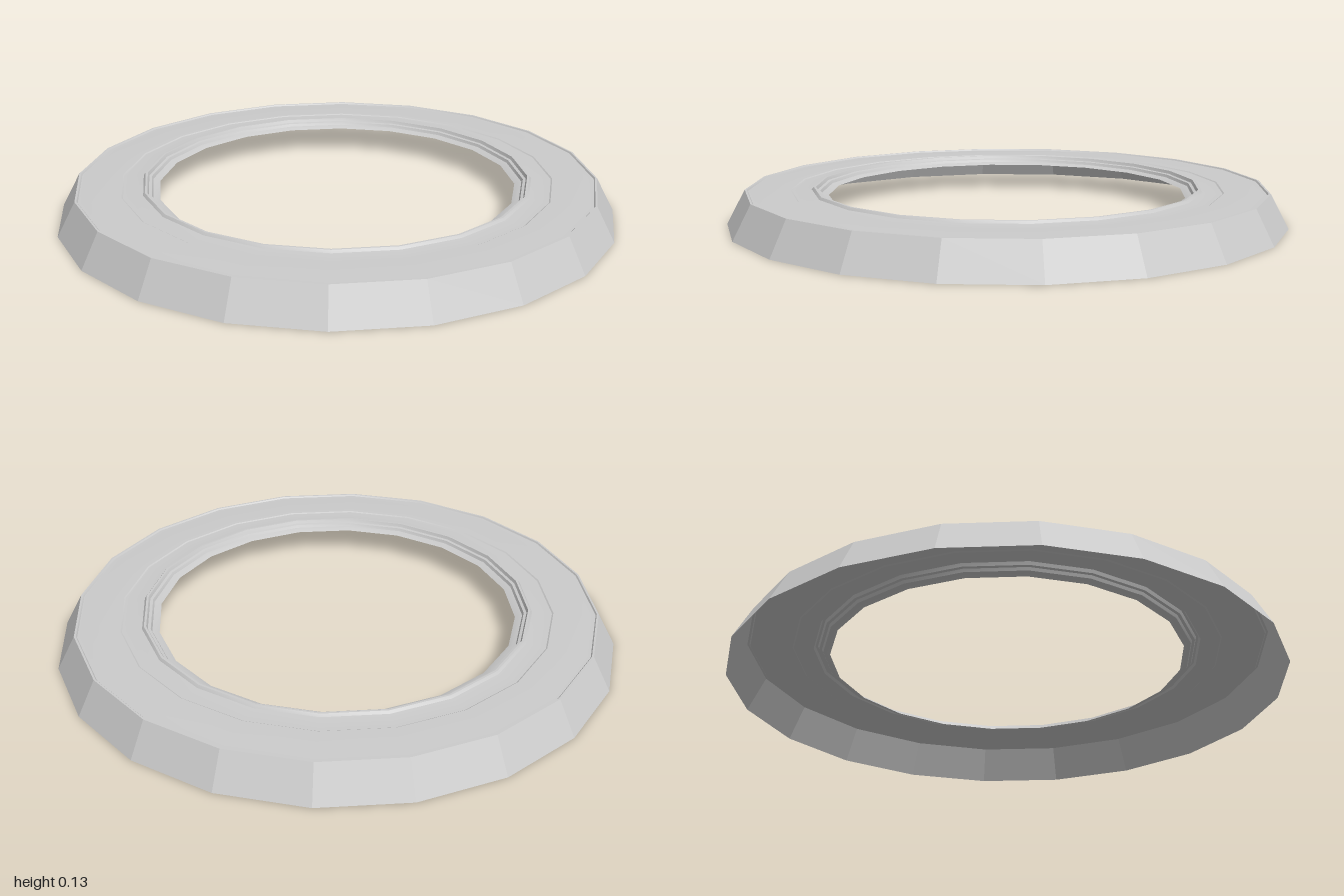
import * as THREE from 'three';
import { toCreasedNormals } from 'three/addons/utils/BufferGeometryUtils.js';

const SIDES = 20;

// Sweeps a profile of [distance to flat side, height] into a 20-sided ring with flats on the axes
function facetedRing(name, profile, material, crease) {
  const toCorner = 1 / Math.cos(Math.PI / SIDES);
  const points = profile.map(([r, y]) => new THREE.Vector2(r * toCorner, y));
  const lathe = new THREE.LatheGeometry(points, SIDES, Math.PI / SIDES);
  const mesh = new THREE.Mesh(toCreasedNormals(lathe, crease), material);
  mesh.name = name;
  return mesh;
}

export function createModel() {
  const group = new THREE.Group();
  group.name = 'ring';
  const material = new THREE.MeshStandardMaterial({ color: 0xcccccc, side: THREE.DoubleSide });

  // Sloping outer wall, open underneath
  group.add(facetedRing('outerWall', [[1, 0], [0.935, 0.123]], material, 0.2));

  // Top face with a fine groove at the rim and a shallow step towards the hole
  group.add(facetedRing('topFace', [
    [0.935, 0.123], [0.928, 0.123], [0.924, 0.118], [0.905, 0.118],
    [0.88, 0.12], [0.775, 0.12], [0.77, 0.117], [0.735, 0.117], [0.7, 0.12],
  ], material, 0.4));

  // Raised bead and stepped lip around the hole
  group.add(facetedRing('innerLip', [
    [0.7, 0.12], [0.693, 0.129], [0.685, 0.129], [0.68, 0.118],
    [0.67, 0.116], [0.665, 0.106], [0.655, 0.104], [0.64, 0.098],
  ], material, 0.3));

  return group;
}
